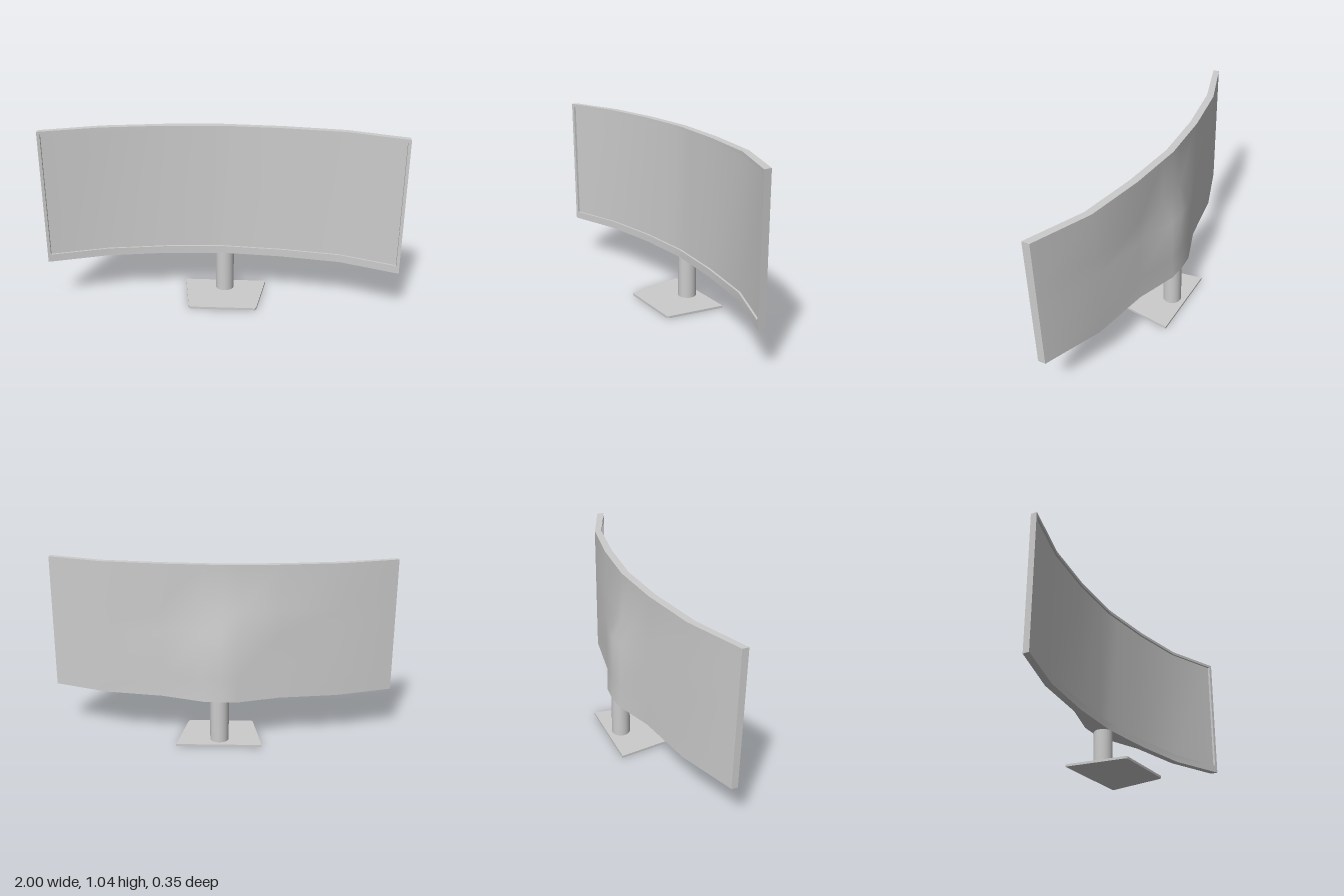
import * as THREE from 'three';

const material = new THREE.MeshStandardMaterial({ color: 0xcccccc, side: THREE.DoubleSide });

// Plan curves of the panel as [x, z]
const FRONT = [[-1, 0.136], [-0.67, 0.03], [-0.33, -0.023], [0, -0.042], [0.34, -0.012], [0.68, 0.045], [1, 0.176]];
const BACK = [[-1, 0.1], [-0.67, -0.012], [-0.33, -0.065], [0, -0.084], [0.34, -0.055], [0.68, 0.003], [1, 0.132]];
// Depth of the rear bulge by height, and its share by x
const BULGE_Y = [[0.262, 0.065], [0.4, 0.058], [0.655, 0.056], [0.78, 0], [1.041, 0]];
const BULGE_X = [[-0.33, 0], [-0.1, 1], [0.1, 1], [0.34, 0]];

const XS = [-1, -0.67, -0.33, -0.1, 0, 0.1, 0.34, 0.68, 1];
const INNER_XS = XS.map((x) => THREE.MathUtils.clamp(x, -0.984, 0.984));
const BOTTOM = 0.262, TOP = 1.041, IN_BOTTOM = 0.306, IN_TOP = 1.024, RECESS = 0.012;

// Linear interpolation along a list of [position, value]
function lerpList(list, t) {
  if (t <= list[0][0]) return list[0][1];
  for (let i = 1; i < list.length; i++) {
    const [a, va] = list[i - 1], [b, vb] = list[i];
    if (t <= b) return va + ((vb - va) * (t - a)) / (b - a);
  }
  return list[list.length - 1][1];
}

const front = (x, y) => [x, y, lerpList(FRONT, x)];
const screen = (x, y) => [x, y, lerpList(FRONT, x) - RECESS];
const back = (x, y) => [x, y, lerpList(BACK, x) - lerpList(BULGE_Y, y) * lerpList(BULGE_X, x)];

// Smooth surface through rows of points: rows go up, points go right, seen from outside
function sheet(rows) {
  const n = rows[0].length, index = [];
  for (let r = 0; r < rows.length - 1; r++) {
    for (let c = 0; c < n - 1; c++) {
      const a = r * n + c;
      index.push(a, a + 1, a + n + 1, a, a + n + 1, a + n);
    }
  }
  const geometry = new THREE.BufferGeometry();
  geometry.setAttribute('position', new THREE.Float32BufferAttribute(rows.flat(2), 3));
  geometry.setIndex(index);
  geometry.computeVertexNormals();
  return geometry;
}

function add(parent, name, geometry) {
  const mesh = new THREE.Mesh(geometry, material);
  mesh.name = name;
  parent.add(mesh);
  return mesh;
}

export function createModel() {
  const model = new THREE.Group();
  model.name = 'curvedMonitor';
  const panel = new THREE.Group();
  panel.name = 'panel';
  model.add(panel);

  const row = (fn, xs, y) => xs.map((x) => fn(x, y));
  const ys = BULGE_Y.map(([y]) => y);

  // Rear shell with bulge, and recessed display
  add(panel, 'rearShell', sheet(ys.map((y) => row(back, XS, y).reverse())));
  add(panel, 'display', sheet([row(screen, INNER_XS, IN_BOTTOM), row(screen, INNER_XS, IN_TOP)]));

  // Top and bottom: bezel, recess wall and outer rim
  add(panel, 'topBezel', sheet([row(front, INNER_XS, IN_TOP), row(front, XS, TOP)]));
  add(panel, 'bottomBezel', sheet([row(front, XS, BOTTOM), row(front, INNER_XS, IN_BOTTOM)]));
  add(panel, 'topRecess', sheet([row(screen, INNER_XS, IN_TOP), row(front, INNER_XS, IN_TOP)]));
  add(panel, 'bottomRecess', sheet([row(front, INNER_XS, IN_BOTTOM), row(screen, INNER_XS, IN_BOTTOM)]));
  add(panel, 'topRim', sheet([row(front, XS, TOP), row(back, XS, TOP)]));
  add(panel, 'bottomRim', sheet([row(back, XS, BOTTOM), row(front, XS, BOTTOM)]));

  // Left and right: the same strips, ordered to face outward on either side
  for (const side of [-1, 1]) {
    const name = side > 0 ? 'left' : 'right';
    const x = side, xi = side * 0.984;
    const strip = (from, to) => sheet([0, 1].map((i) => (side > 0 ? [from[i], to[i]] : [to[i], from[i]])));
    const outer = [front(x, BOTTOM), front(x, TOP)];
    const inner = [front(xi, IN_BOTTOM), front(xi, IN_TOP)];
    const deep = [screen(xi, IN_BOTTOM), screen(xi, IN_TOP)];
    const rear = [back(x, BOTTOM), back(x, TOP)];
    add(panel, name + 'Bezel', strip(inner, outer));
    add(panel, name + 'Recess', strip(deep, inner));
    add(panel, name + 'Rim', strip(outer, rear));
  }

  // Stand post
  const post = add(model, 'standPost', new THREE.CylinderGeometry(0.054, 0.054, 0.255, 32));
  post.position.set(0.01, 0.1375, -0.093);

  // Tapered foot plate with clipped front corners
  const plan = [[-0.235, 0.176], [-0.187, -0.16], [-0.178, -0.172], [0.198, -0.172], [0.207, -0.16], [0.257, 0.176]];
  const foot = new THREE.ExtrudeGeometry(new THREE.Shape(plan.map(([x, y]) => new THREE.Vector2(x, y))),
    { depth: 0.013, bevelEnabled: false });
  foot.rotateX(-Math.PI / 2);
  add(model, 'footPlate', foot);

  return model;
}
